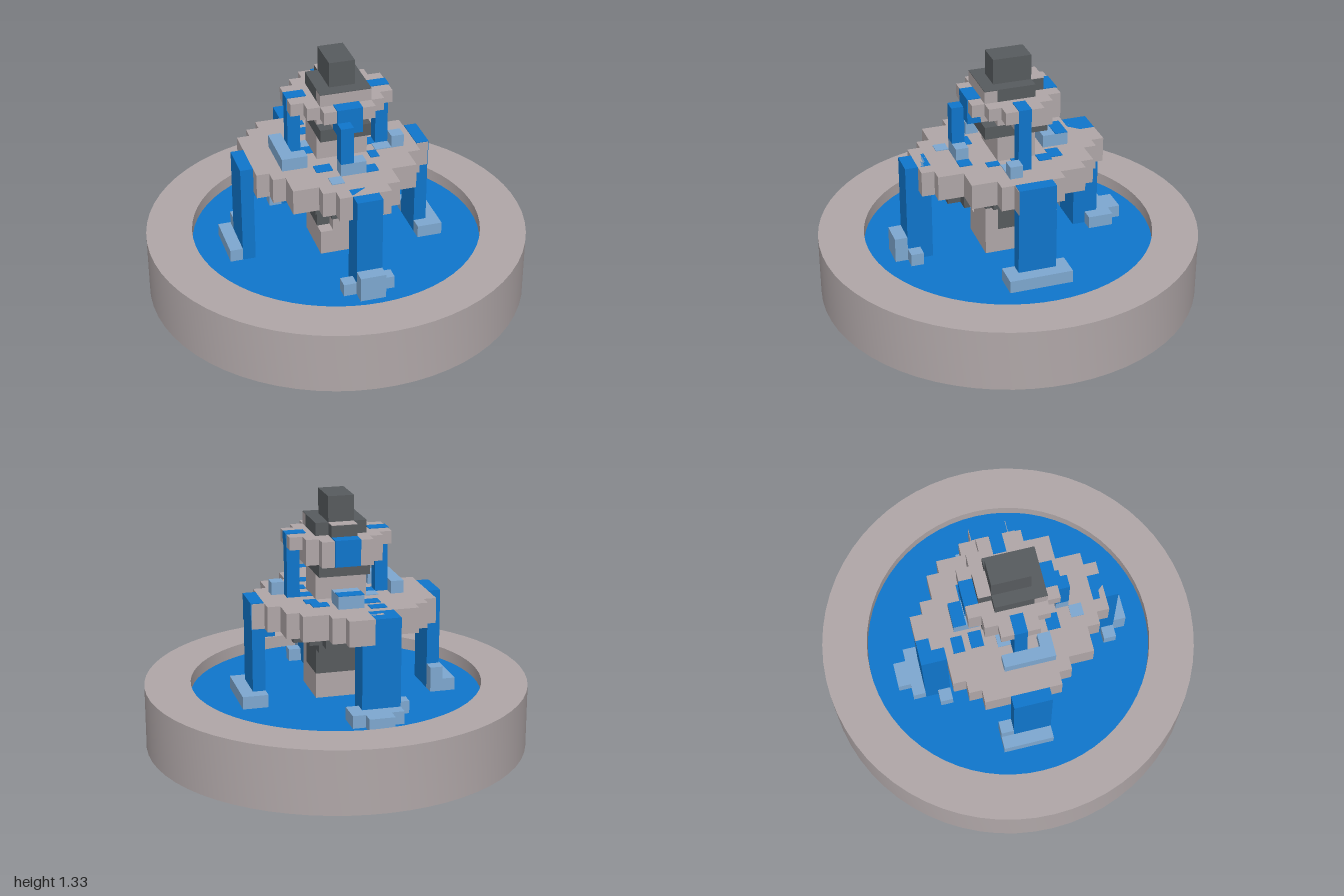
import * as THREE from 'three';
import { toCreasedNormals } from 'three/addons/utils/BufferGeometryUtils.js';

const U = 1 / 15; // block size
const mat = (name, color, side = THREE.FrontSide) => {
  const m = new THREE.MeshStandardMaterial({ color, side });
  m.name = name;
  return m;
};

export function createModel() {
  const stone = mat('stone', 0xb0a7a8);
  const basinStone = stone;
  basinStone.side = THREE.DoubleSide;
  const dark = mat('dark stone', 0x575b5e);
  const water = mat('water', 0x0f76cc, THREE.DoubleSide);
  const foam = mat('foam', 0x7ea8d0);
  const model = new THREE.Group();
  model.name = 'fountain';

  const add = (parent, name, geometry, material) => {
    const mesh = new THREE.Mesh(geometry, material);
    mesh.name = name;
    parent.add(mesh);
    return mesh;
  };
  const group = (name) => {
    const g = new THREE.Group();
    g.name = name;
    model.add(g);
    return g;
  };
  // Box from corner ranges in block units
  const block = (parent, name, m, x0, x1, y0, y1, z0, z1) => {
    const g = new THREE.BoxGeometry((x1 - x0) * U, (y1 - y0) * U, (z1 - z0) * U);
    g.translate((x0 + x1) / 2 * U, (y0 + y1) / 2 * U, (z0 + z1) / 2 * U);
    return add(parent, name, g, m);
  };
  // Stepped slab: one strip per row of blocks, extruded as a single outline
  const slab = (parent, name, m, rows, firstRow, y0, y1) => {
    const right = [], left = [];
    rows.forEach(([a, b], i) => {
      const z = firstRow + i - 0.5;
      right.push([b, z], [b, z + 1]);
      left.push([a, z], [a, z + 1]);
    });
    const pts = [...right, ...left.reverse()].map(([x, z]) => new THREE.Vector2(x * U, -z * U));
    const g = new THREE.ExtrudeGeometry(new THREE.Shape(pts), { depth: (y1 - y0) * U, bevelEnabled: false });
    g.rotateX(-Math.PI / 2).translate(0, y0 * U, 0);
    return add(parent, name, g, m);
  };

  // Round basin: hollow shell, open underneath
  const profile = [[1, 0], [1, 0.333], [0.76, 0.333], [0.76, 0.18]].map(p => new THREE.Vector2(...p));
  add(model, 'basin', toCreasedNormals(new THREE.LatheGeometry(profile, 64), 0.6), basinStone);
  const pool = add(model, 'poolWater', new THREE.CircleGeometry(0.76, 64), water);
  pool.rotation.x = -Math.PI / 2;
  pool.position.y = 4 * U;

  // Pedestal
  const pedestal = group('pedestal');
  block(pedestal, 'pedestalWaterBlock', water, -3, 3, 0, 3.98, -3, 3);
  block(pedestal, 'pedestalFoot', stone, -2, 2, 4, 6, -1.5, 2.5);
  block(pedestal, 'pedestalShaft', dark, -2, 2, 6, 8, -1.5, 1.5);
  block(pedestal, 'pedestalFront', stone, -1, 2, 6, 8, 1.5, 2.5);
  block(pedestal, 'pedestalCollar', dark, -2, 2, 8, 9, -2.5, 2.5);

  // Lower bowl
  const lower = group('lowerBowl');
  const under = [[-2, 2], [-4, 3], [-4, 4], [-5, 4], [-5, 4], [-5, 4], [-4, 4], [-4, 3], [-3, 3], [-2, 2]];
  slab(lower, 'lowerBowlUnderside', dark, under, -4, 9, 10);
  for (const [x, z] of [[-4, 3], [2, 3], [-5, -1], [-1, 4], [3, -1], [-3, -4]])
    block(lower, 'undersideStone', stone, x, x + 1, 8.99, 10, z - 0.49, z + 0.51);
  const bowlRows = [[-1, 1], [-2, 2], [-5, 4], [-6, 5], [-7, 5], [-7, 6], [-7, 7], [-7, 7], [-7, 7],
    [-7, 6], [-6, 5], [-5, 5], [-5, 3], [-3, 3], [-2, 2]];
  slab(lower, 'lowerBowlRim', stone, bowlRows, -7, 10, 12);

  // Shallow water and foam patches lying on the lower bowl
  const patch = (m, x0, x1, z0, z1) => block(lower, m === water ? 'waterPatch' : 'foamPatch', m, x0, x1, 12, 12.06, z0, z1);
  patch(water, -2.6, -1.3, -3.5, -2.5);
  patch(water, 1.4, 2.7, -3.5, -2.5);
  patch(water, 2, 3, -2.5, -1.5);
  patch(water, 2, 2.7, 1.5, 2.5);
  patch(water, -2.6, -1.3, 2.5, 3.5);
  patch(water, -4, -2, -0.5, 0.5);
  patch(water, 2, 4, -0.5, 0.5);
  patch(water, 1, 2, 3.5, 4.5);
  patch(water, -2.7, -1.4, -4.9, -4);
  patch(foam, -3, -2, -1.5, -0.5);
  patch(foam, 2.7, 4, 0.5, 1.5);
  patch(foam, -2, -1, 4.5, 5.5);

  // Falls from the lower bowl into the pool
  const falls = group('lowerFalls');
  block(falls, 'frontFall', water, -1, 1, 0, 12, 6.5, 8.5);
  block(falls, 'leftFall', water, 6, 7, 0, 10, -1.5, 1.5);
  block(falls, 'leftSpout', water, 6.05, 7.06, 9.95, 12.06, -1.45, 1.45);
  block(falls, 'leftDrip', water, 5, 6, 9, 10, -0.5, 0.5);
  block(falls, 'rightFall', water, -8, -7, 0, 12, -1.5, 1.5);
  block(falls, 'rightDrip', water, -7, -6, 9, 10, -0.5, 0.5);
  block(falls, 'backFall', water, -3, 0, 0, 10, -7.5, -5.5);
  block(falls, 'backSpout', water, -3, -1, 10, 12, -7.5, -5.5);

  // Foam where falls strike the pool, with water blocks of the same outline beneath
  const splash = group('poolSplashes');
  const splashes = [
    [-1, 1, 6, 8.5, 9.5], [-2, -1, 5, 7.5, 8.5], [1, 2, 5, 7.5, 8.5],
    [6, 8, 5, -2.5, -1.5], [7, 8, 5, -1.5, 1.5], [6, 8, 5, 1.5, 2.5],
    [-9, -8, 5, -2.5, 1.5], [-8, -7, 6, -2.5, -1.5],
    [-3, 1, 5, -8.5, -7.5], [-2, 0, 5, -9.5, -8.5], [0, 1, 5, -7.5, -6.5], [-4, -3, 5, -6.5, -5.5],
  ];
  for (const [x0, x1, top, z0, z1] of splashes) {
    block(splash, 'foamBlock', foam, x0, x1, 4, top, z0, z1);
    block(splash, 'sunkenWater', water, x0, x1, 0, 3.98, z0, z1);
  }

  // Neck and upper bowl
  const upper = group('upperBowl');
  block(upper, 'neck', stone, -2, 2, 12, 14, -1.5, 1.5);
  block(upper, 'neckCollar', dark, -2, 2, 14, 15, -2.5, 2.5);
  slab(upper, 'upperBowlBase', stone, [[-2, 2], [-3, 3], [-3, 3], [-3, 3], [-2, 2], [-1, 1]], -3, 15, 16);
  slab(upper, 'upperBowlRim', stone, [[-2, 2], [-3, 3], [-4, 4], [-4, 4], [-4, 4], [-3, 3], [-2, 2]], -3, 16, 17);

  // Falls from the upper bowl
  const upperFalls = group('upperFalls');
  block(upperFalls, 'frontFall', water, -1, 0, 13, 16, 3.5, 4.5);
  block(upperFalls, 'frontSpout', water, -1, 1, 15, 17.06, 2.5, 3.56);
  block(upperFalls, 'leftFall', water, 3, 4, 12, 16, -0.5, 0.5);
  block(upperFalls, 'rightFall', water, -4, -3, 12, 16, -0.5, 0.5);
  block(upperFalls, 'leftSpout', water, 2.5, 4.06, 16, 17.06, -0.5, 0.5);
  block(upperFalls, 'rightSpout', water, -4.06, -2.5, 16, 17.06, -0.5, 0.5);
  block(upperFalls, 'backSpout', water, -1, 1, 15, 17.06, -3.56, -2.5);
  block(upperFalls, 'frontFoam', foam, -1, 1, 12, 13, 3.5, 4.5);
  block(upperFalls, 'leftFoam', foam, 4, 5, 12, 13, 0.5, 1.5);
  block(upperFalls, 'rightFoam', foam, -5, -4, 12, 13, -1.5, 2.5);
  block(upperFalls, 'rightFoamEnd', foam, -4, -3, 12, 13, 1.5, 2.5);
  block(upperFalls, 'backFoam', foam, -1, 1, 12, 13, -4.5, -2.5);
  block(upperFalls, 'backFoamWater', water, -1, 1, 13, 13.05, -4.5, -3.5);

  // Crown
  const crown = group('crown');
  block(crown, 'crownPlate', dark, -2, 2, 17, 18, -1.5, 1.5);
  block(crown, 'crownFront', stone, -2, 2, 17, 17.95, 1.5, 2.5);
  block(crown, 'crownFrontTop', dark, -2, 2, 17.95, 18, 1.5, 2.5);
  block(crown, 'crownBack', dark, -1, 1, 17, 17.95, -2.5, -1.5);
  block(crown, 'crownBackTop', stone, -1, 1, 17.95, 18, -2.5, -1.5);
  block(crown, 'finial', dark, -1, 1, 18, 20, -1.5, 1.5);

  return model;
}
